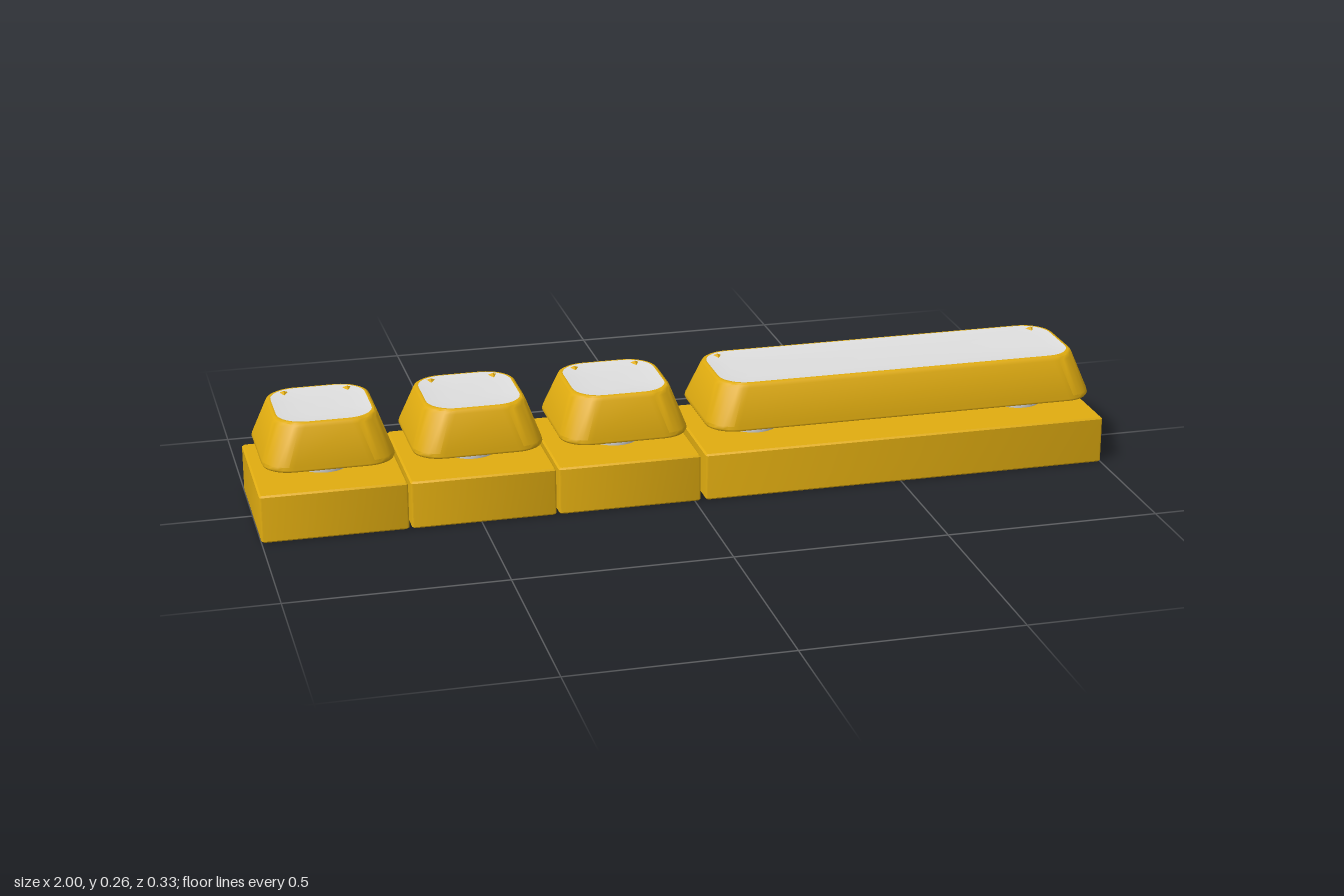
import * as THREE from 'three';
import { toCreasedNormals } from 'three/addons/utils/BufferGeometryUtils.js';

const yellow = new THREE.MeshStandardMaterial({ color: 0xe0ac10 });
yellow.name = 'golden yellow';
const grey = new THREE.MeshStandardMaterial({ color: 0xdedede });
grey.name = 'light grey';

const CORNER_STEPS = 8;

// Rounded rectangle in the xz plane, as a ring of points at height y
function ring([hx, hz, r, y]) {
  const points = [];
  for (let q = 0; q < 4; q++) {
    const sx = q === 0 || q === 3 ? 1 : -1;
    const sz = q < 2 ? 1 : -1;
    for (let i = 0; i <= CORNER_STEPS; i++) {
      const a = (q + i / CORNER_STEPS) * Math.PI / 2;
      points.push(sx * (hx - r) + r * Math.cos(a), y, sz * (hz - r) + r * Math.sin(a));
    }
  }
  return points;
}

// Skin over a list of [halfX, halfZ, cornerRadius, y]; [0, 0, 0, y] closes at the centre
function loft(sections, crease) {
  const n = 4 * (CORNER_STEPS + 1);
  const index = [];
  for (let s = 0; s < sections.length - 1; s++) {
    for (let j = 0; j < n; j++) {
      const k = (j + 1) % n;
      const a = s * n + j, b = s * n + k, c = a + n, d = b + n;
      if (sections[s][0] > 0) index.push(a, c, b);
      if (sections[s + 1][0] > 0) index.push(b, c, d);
    }
  }
  const geometry = new THREE.BufferGeometry();
  geometry.setAttribute('position', new THREE.Float32BufferAttribute(sections.flatMap(ring), 3));
  geometry.setIndex(index);
  return toCreasedNormals(geometry, crease);
}

function addMesh(group, name, geometry, material, x = 0, y = 0, z = 0) {
  const mesh = new THREE.Mesh(geometry, material);
  mesh.name = name;
  mesh.position.set(x, y, z);
  group.add(mesh);
}

// One key: hollow base, ball supports, tapered cap with a shallow grey dish
function buildKey(name, x, halfWidth, ballXs) {
  const key = new THREE.Group();
  key.name = name;
  key.position.x = x;
  const extra = halfWidth - 0.167; // added to every half width in x

  // Open-bottomed base
  const base = [
    [0.132, 0.005, 0.082], [0.132, 0.005, 0], [0.163, 0.005, 0], [0.167, 0.006, 0.004],
    [0.167, 0.006, 0.109], [0.163, 0.005, 0.113],
  ].map(([h, r, y]) => [h + extra, h, r, y]);
  addMesh(key, 'base', loft([[0, 0, 0, 0.082], ...base, [0, 0, 0, 0.113]], 0.5), yellow);

  // Ball supports
  for (const bx of ballXs) {
    addMesh(key, 'ball', new THREE.SphereGeometry(0.059, 32, 20), grey, bx, 0.124, 0);
  }

  // Tapered cap with rounded edges
  const cap = [
    [0.144, 0.058, 0.155], [0.151, 0.064, 0.157], [0.1535, 0.066, 0.162], [0.152, 0.066, 0.169],
    [0.123, 0.066, 0.25], [0.12, 0.066, 0.257], [0.116, 0.065, 0.26], [0.111, 0.062, 0.26],
    [0.1, 0.056, 0.254],
  ].map(([h, r, y]) => [h - 0.003 + extra, h, r, y]);
  addMesh(key, 'cap', loft([[0, 0, 0, 0.155], ...cap, [0, 0, 0, 0.25]], 0.9), yellow);

  // Shallow dish on top of the cap
  const dish = [
    [0.111, 0.062, 0.2603], [0.095, 0.054, 0.2585], [0.07, 0.042, 0.257],
  ].map(([h, r, y]) => [h - 0.003 + extra, h, r, y]);
  addMesh(key, 'dish', loft([...dish, [0, 0, 0, 0.256]], 0.9), grey);

  // Small studs in the two back corners
  for (const side of [-1, 1]) {
    const stud = new THREE.ConeGeometry(0.017, 0.008, 3);
    addMesh(key, 'cornerStud', toCreasedNormals(stud, 0.1), yellow, side * (0.073 + extra), 0.2605, -0.087);
  }
  return key;
}

export function createModel() {
  const model = new THREE.Group();
  model.name = 'keyRow';

  // Three square keys and one wide key
  [-0.833, -0.493, -0.153].forEach((x, i) => {
    model.add(buildKey('squareKey' + (i + 1), x, 0.167, [0]));
  });
  model.add(buildKey('wideKey', 0.513, 0.487, [-0.33, 0.33]));
  return model;
}
